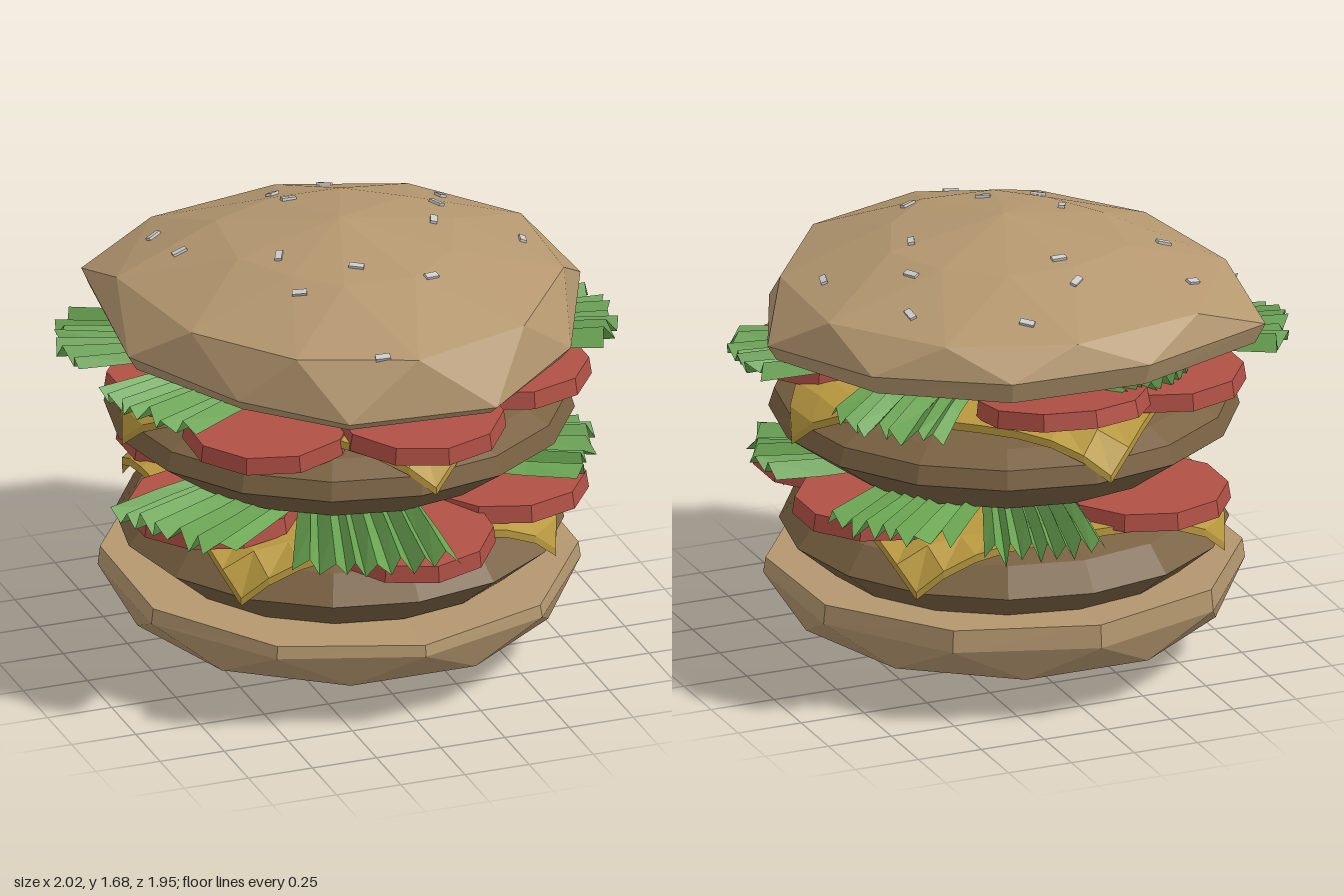
import * as THREE from 'three';

const CZ = -0.05; // stack axis in z
const mat = (color, side = THREE.FrontSide) =>
  new THREE.MeshStandardMaterial({ color, flatShading: true, side });
const MAT = {
  bun: mat(0xb4976f), patty: mat(0x7a6242), cheese: mat(0xb8983f), tomato: mat(0xb05045),
  lettuce: mat(0x6aa552, THREE.DoubleSide), seed: mat(0xcccccc),
};

let seed = 7;
const rand = () => (seed = (seed * 16807) % 2147483647) / 2147483647;

function part(name, geometry, material) {
  const mesh = new THREE.Mesh(geometry, material);
  mesh.name = name;
  return mesh;
}

// Closed body: an outline [x, z] repeated per ring [y, scale, slope along z, twist in corners],
// with a pole at each end
function loft(outline, rings, yBottom, yTop) {
  const n = outline.length, pos = [], idx = [];
  for (const [y, s, slope = 0, twist = 0] of rings)
    for (let j = 0; j < n; j++) {
      const i = j + Math.floor(twist), f = twist % 1;
      const [x0, z0] = outline[i % n], [x1, z1] = outline[(i + 1) % n];
      const x = x0 + (x1 - x0) * f, z = z0 + (z1 - z0) * f;
      pos.push(x * s, y + slope * z, CZ + z * s);
    }
  const low = rings.length * n, high = low + 1, last = (rings.length - 1) * n;
  pos.push(0, yBottom, CZ, 0, yTop, CZ);
  for (let j = 0; j < n; j++) {
    const k = (j + 1) % n;
    idx.push(low, j, k, high, last + k, last + j);
    for (let i = 0; i < last; i += n)
      idx.push(i + j, i + n + j, i + k, i + k, i + n + j, i + n + k);
  }
  const g = new THREE.BufferGeometry();
  g.setAttribute('position', new THREE.Float32BufferAttribute(pos, 3));
  g.setIndex(idx);
  g.computeVertexNormals();
  return g;
}

// Regular outline with one corner at the back
const ellipse = (n, rx, rz) => Array.from({ length: n }, (_, i) => {
  const a = (i / n) * Math.PI * 2 - Math.PI / 2;
  return [rx * Math.cos(a), rz * Math.sin(a)];
});

// Square slice whose corners bend down over the patty
function cheeseSlice(y, turn) {
  const g = new THREE.BoxGeometry(1.34, 0.03, 1.34, 10, 1, 10);
  const p = g.attributes.position, flat = 0.68, R = 0.19;
  for (let i = 0; i < p.count; i++) {
    const x = p.getX(i), z = p.getZ(i), r = Math.hypot(x, z);
    if (r <= flat) continue;
    const a = (r - flat) / R, s = (flat + R * Math.sin(a)) / r;
    p.setXYZ(i, x * s, p.getY(i) - R * (1 - Math.cos(a)), z * s);
  }
  g.computeVertexNormals();
  const m = part('cheeseSlice', g, MAT.cheese);
  m.position.set(0, y, CZ);
  m.rotation.y = turn;
  return m;
}

function tomatoSlice([x, y, z, tiltX = 0, tiltZ = 0]) {
  const m = part('tomatoSlice', new THREE.CylinderGeometry(0.31, 0.32, 0.065, 10), MAT.tomato);
  m.position.set(x, y, z);
  m.rotation.set(tiltX, 0, tiltZ);
  return m;
}

// Coarsely pleated fan reaching from near the axis to the tip (x, z)
function lettuceLeaf([x, y, z, width = 0.6, droop = 0]) {
  const cols = 14, rows = 3, pos = [], idx = [];
  const inner = 0.3, reach = Math.hypot(x, z - CZ);
  for (let c = 0; c <= cols; c++) {
    const u = (c + 0.6 * (rand() - 0.5)) / cols - 0.5;
    const length = reach - inner - 0.25 * u * u - 0.05 * rand();
    const fold = (c % 2 ? 1 : -1) * (0.015 + 0.028 * rand());
    for (let r = 0; r <= rows; r++) {
      const t = r / rows;
      pos.push(u * width * (0.6 + 0.4 * t),
        fold * (0.7 + 0.3 * t) - droop * t * t + 0.012 * (rand() - 0.5),
        inner + length * t);
      if (c < cols && r < rows) {
        const a = c * (rows + 1) + r, b = a + rows + 1;
        idx.push(a, a + 1, b, b, a + 1, b + 1);
      }
    }
  }
  const g = new THREE.BufferGeometry();
  g.setAttribute('position', new THREE.Float32BufferAttribute(pos, 3));
  g.setIndex(idx);
  g.computeVertexNormals();
  const m = part('lettuceLeaf', g, MAT.lettuce);
  m.position.set(0, y, CZ);
  m.rotation.y = Math.atan2(x, z - CZ);
  return m;
}

function layer(name, build, list) {
  const g = new THREE.Group();
  g.name = name;
  g.add(...list.map(build));
  return g;
}

export function createModel() {
  const model = new THREE.Group();
  model.name = 'hamburger';

  // Bottom bun
  model.add(part('bottomBun', loft(ellipse(10, 0.88, 0.9),
    [[0.045, 0.5], [0.165, 0.94, 0, 0.5], [0.3, 1, 0, 1], [0.365, 0.99, -0.025, 1]],
    0, 0.35), MAT.bun));

  // Patties and cheese
  model.add(part('lowerPatty', loft(ellipse(16, 0.82, 0.83),
    [[0.35, 0.8], [0.49, 1], [0.59, 0.9], [0.63, 0.74]], 0.34, 0.635), MAT.patty));
  model.add(cheeseSlice(0.655, 0));
  model.add(part('upperPatty', loft(ellipse(16, 0.86, 0.86),
    [[0.78, 0.76], [0.93, 1], [1.0, 0.975], [1.05, 0.87], [1.08, 0.72]], 0.77, 1.08), MAT.patty));
  model.add(cheeseSlice(1.1, Math.PI / 4 + 0.06));

  // Tomato slices: x, y, z, tilts
  model.add(layer('lowerTomatoes', tomatoSlice, [
    [0.04, 0.665, 0.56, 0.1], [0.5, 0.69, 0.3], [0.56, 0.69, -0.2],
    [-0.57, 0.7, 0.16], [-0.36, 0.69, -0.5],
  ]));
  model.add(layer('upperTomatoes', tomatoSlice, [
    [0.08, 1.12, 0.56, 0.06], [-0.43, 1.09, 0.37, 0.06, 0.05], [-0.58, 1.13, -0.04],
    [0.53, 1.12, 0.25], [0.02, 1.155, -0.64, 0.15], [-0.43, 1.14, -0.48],
  ]));

  // Lettuce leaves: tip x, height, tip z, width, droop
  model.add(layer('lowerLettuce', lettuceLeaf, [
    [-0.22, 0.77, 0.97, 0.6, 0.04], [-0.92, 0.77, 0.46, 0.6], [0.88, 0.77, 0.3, 0.5],
    [0.77, 0.79, -0.68, 0.5, 0.03], [0.22, 0.77, -0.98, 0.45, 0.06],
  ]));
  model.add(layer('upperLettuce', lettuceLeaf, [
    [-1.0, 1.21, -0.38, 0.45], [-0.97, 1.21, 0.34, 0.5],
    [1.01, 1.21, 0.14, 0.45], [0.72, 1.21, -0.52, 0.5, 0.11], [-0.1, 1.21, 0.68, 0.45],
    [-0.38, 1.2, -0.72, 0.45],
  ]));

  // Top bun with an uneven outline and staggered facets
  const rim = [[0.94, 0], [0.7, 0.54], [0.28, 0.89], [-0.28, 0.85], [-0.6, 0.55],
    [-0.86, 0.1], [-0.78, -0.6], [-0.22, -0.84], [0.32, -0.82], [0.74, -0.5]];
  const topBun = part('topBun', loft(rim,
    [[1.245, 0.96, -0.03], [1.305, 1, -0.06], [1.46, 0.95, 0, 0.5], [1.6, 0.48, 0, 1]],
    1.25, 1.68), MAT.bun);
  model.add(topBun);

  // Seeds dropped onto the bun and turned to lie along its surface
  const seeds = new THREE.Group();
  seeds.name = 'seeds';
  topBun.updateMatrixWorld();
  const ray = new THREE.Raycaster();
  const up = new THREE.Vector3(0, 1, 0);
  const spots = [[-0.55, -0.51, 0.4], [-0.08, -0.53, 0.7], [0.18, -0.68, -0.7], [-0.07, -0.39, 0],
    [0.54, -0.44, 1.6], [-0.55, -0.24, 0], [0.45, -0.24, -1.1], [0.36, -0.03, 1.2],
    [0.69, 0.01, 1.3], [-0.28, 0.07, 1.1], [-0.05, 0.26, -0.5], [-0.29, 0.31, -0.4],
    [0.2, 0.37, 0.3], [-0.12, 0.72, -0.2]];
  for (const [x, z, turn] of spots) {
    ray.set(new THREE.Vector3(x, 3, z), new THREE.Vector3(0, -1, 0));
    const hit = ray.intersectObject(topBun)[0];
    if (!hit) continue;
    const m = part('seed', new THREE.BoxGeometry(0.055, 0.02, 0.025), MAT.seed);
    m.position.copy(hit.point);
    m.quaternion.setFromUnitVectors(up, hit.face.normal);
    m.rotateY(turn);
    seeds.add(m);
  }
  model.add(seeds);
  return model;
}
